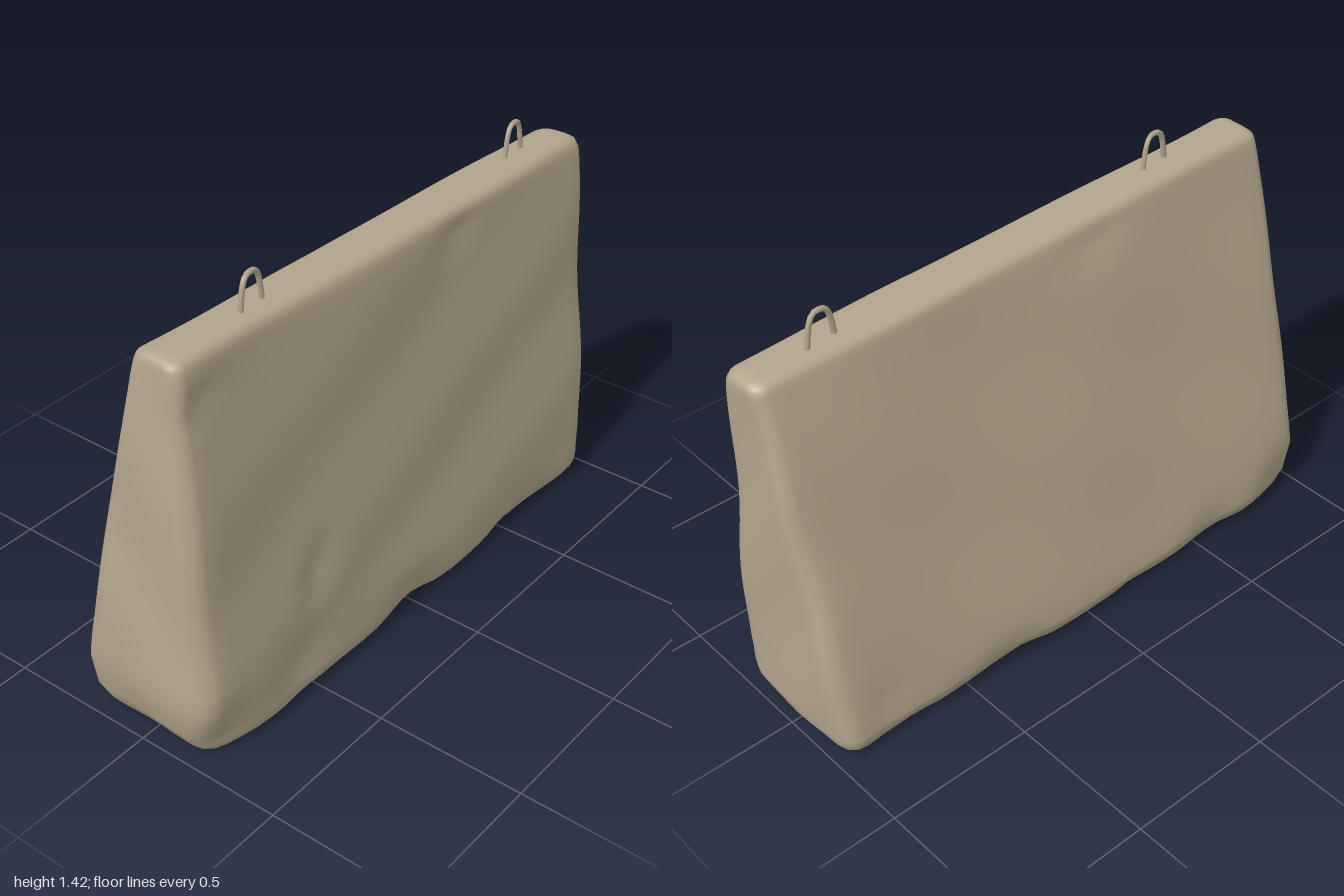
import * as THREE from 'three';

// Horizontal sections from bottom to top: y, right x, left x, front z, back z, corner radius
const SECTIONS = [
  [0, 0.9, -0.88, 0.01, 0.0, 0.003],
  [0, 0.93, -0.91, 0.22, -0.19, 0.05],
  [0.008, 0.955, -0.935, 0.25, -0.225, 0.06],
  [0.03, 0.972, -0.95, 0.268, -0.262, 0.07],
  [0.075, 0.976, -0.972, 0.274, -0.272, 0.07],
  [0.19, 0.98, -0.995, 0.27, -0.25, 0.065],
  [1.2, 0.996, -0.946, 0.178, -0.024, 0.04],
  [1.25, 0.997, -0.942, 0.172, -0.012, 0.04],
  [1.272, 0.99, -0.937, 0.163, -0.003, 0.04],
  [1.284, 0.972, -0.922, 0.145, 0.018, 0.035],
  [1.287, 0.94, -0.89, 0.09, 0.08, 0.003],
];

// Gaussian dents: centre x, y, spread x, y, depth, on front (1) or back (-1)
const DENTS = [
  [-0.47, 0.42, 0.05, 0.07, 0.022, 1], [-0.58, 0.15, 0.12, 0.08, 0.015, 1],
  [-0.02, 0.04, 0.12, 0.07, 0.03, 1], [-0.93, 0.06, 0.12, 0.1, 0.045, 1],
  [0.3, 1.2, 0.08, 0.05, 0.012, 1], [-0.88, 1.13, 0.05, 0.04, 0.015, 1],
  [0.6, 0.03, 0.15, 0.04, 0.015, 1], [-0.55, 0.05, 0.1, 0.07, 0.02, -1],
  [-0.9, 0.07, 0.1, 0.1, 0.035, -1], [0.35, 0.04, 0.14, 0.06, 0.02, -1],
  [0.85, 0.1, 0.1, 0.1, 0.015, -1], [-0.2, 1.2, 0.12, 0.06, 0.01, -1],
];

// Rounded rectangle, running right side, front, left side, back
function ring([y, xr, xl, zf, zb, r]) {
  const pts = [];
  const corners = [
    [xr - r, zb + r, -90], [xr - r, zf - r, 0], [xl + r, zf - r, 90], [xl + r, zb + r, 180],
  ];
  corners.forEach(([cx, cz, start], k) => {
    const arc = [];
    for (let i = 0; i <= 3; i++) {
      const a = THREE.MathUtils.degToRad(start + i * 30);
      arc.push([cx + r * Math.cos(a), cz + r * Math.sin(a)]);
    }
    pts.push(...arc);
    const [nx, nz, ns] = corners[(k + 1) % 4];
    const a = THREE.MathUtils.degToRad(ns);
    const end = [nx + r * Math.cos(a), nz + r * Math.sin(a)];
    const n = k % 2 ? 32 : 8;
    for (let i = 1; i < n; i++) {
      const t = i / n;
      pts.push([arc[3][0] + (end[0] - arc[3][0]) * t, arc[3][1] + (end[1] - arc[3][1]) * t]);
    }
  });
  return pts.map(([x, z]) => [x, y, z]);
}

// Worn surface: dents, gentle unevenness, and a top that falls towards the left end
function weather([x, y, z]) {
  const mid = THREE.MathUtils.lerp(0, 0.08, y / 1.287);
  const side = THREE.MathUtils.clamp((z - mid) / 0.07, -1, 1);
  let dz = 0.004 * (Math.sin(7 * x + 3 * y) + Math.sin(11 * y - 5 * x + 1)) - 0.004;
  for (const [cx, cy, sx, sy, depth, face] of DENTS) {
    if (side * face > 0) dz -= depth * Math.exp(-(((x - cx) / sx) ** 2) - ((y - cy) / sy) ** 2);
  }
  const edge = THREE.MathUtils.smoothstep(Math.abs(x), 0.85, 0.97);
  const dx = edge * Math.sign(x) * 0.006 * Math.sin(9 * y + 12 * z + x);
  // Chipped underside edge
  const low = Math.max(0, 1 - y / 0.08) * Math.min(1, Math.abs(side));
  const chip = low * 0.012 * Math.max(0, Math.sin(13 * x + 2 * side) + 0.5 * Math.sin(29 * x));
  return [x + dx, y * (1.287 - 0.036 * x) / 1.287 + chip, z + side * dz];
}

function blockGeometry() {
  const levels = [];
  SECTIONS.forEach((s, i) => {
    const next = SECTIONS[i + 1];
    const n = next ? (next[0] - s[0] > 0.5 ? 16 : 2) : 1;
    for (let k = 0; k < n; k++) levels.push(s.map((v, j) => next ? v + (next[j] - v) * k / n : v));
  });
  const rings = levels.map(ring);
  const count = rings[0].length;
  const index = [];
  for (let i = 0; i < rings.length - 1; i++) {
    for (let j = 0; j < count; j++) {
      const a = i * count + j, b = i * count + (j + 1) % count;
      index.push(a, a + count, b, b, a + count, b + count);
    }
  }
  // Close the narrow slots left at the bottom and top
  const last = (rings.length - 1) * count;
  for (let j = 1; j < count - 1; j++) {
    index.push(0, j, j + 1, last, last + j + 1, last + j);
  }
  const geo = new THREE.BufferGeometry();
  geo.setAttribute('position', new THREE.Float32BufferAttribute(rings.flat().map(weather).flat(), 3));
  geo.setIndex(index);
  geo.computeVertexNormals();
  return geo;
}

// Bent steel bar with both ends sunk into the block
function loopGeometry() {
  const path = new THREE.CatmullRomCurve3([
    [-0.052, -0.03, 0.005], [-0.046, 0.02, 0.004], [-0.034, 0.075, 0.003], [-0.02, 0.095, 0.001],
    [0.018, 0.097, -0.001], [0.034, 0.075, -0.003], [0.046, 0.02, -0.004], [0.052, -0.03, -0.005],
  ].map((p) => new THREE.Vector3(...p)));
  return new THREE.TubeGeometry(path, 20, 0.009, 6);
}

export function createModel() {
  const concrete = new THREE.MeshStandardMaterial({ color: 0xb3a58c });
  const model = new THREE.Group();
  model.name = 'concreteBarrier';

  const block = new THREE.Mesh(blockGeometry(), concrete);
  block.name = 'block';
  model.add(block);

  const loop = loopGeometry();
  [['rightLiftingLoop', -0.558, 1.31, 0.09], ['leftLiftingLoop', 0.735, 1.262, 0.065]].forEach(([name, x, y, z]) => {
    const mesh = new THREE.Mesh(loop, concrete);
    mesh.name = name;
    mesh.position.set(x, y, z);
    model.add(mesh);
  });
  return model;
}
